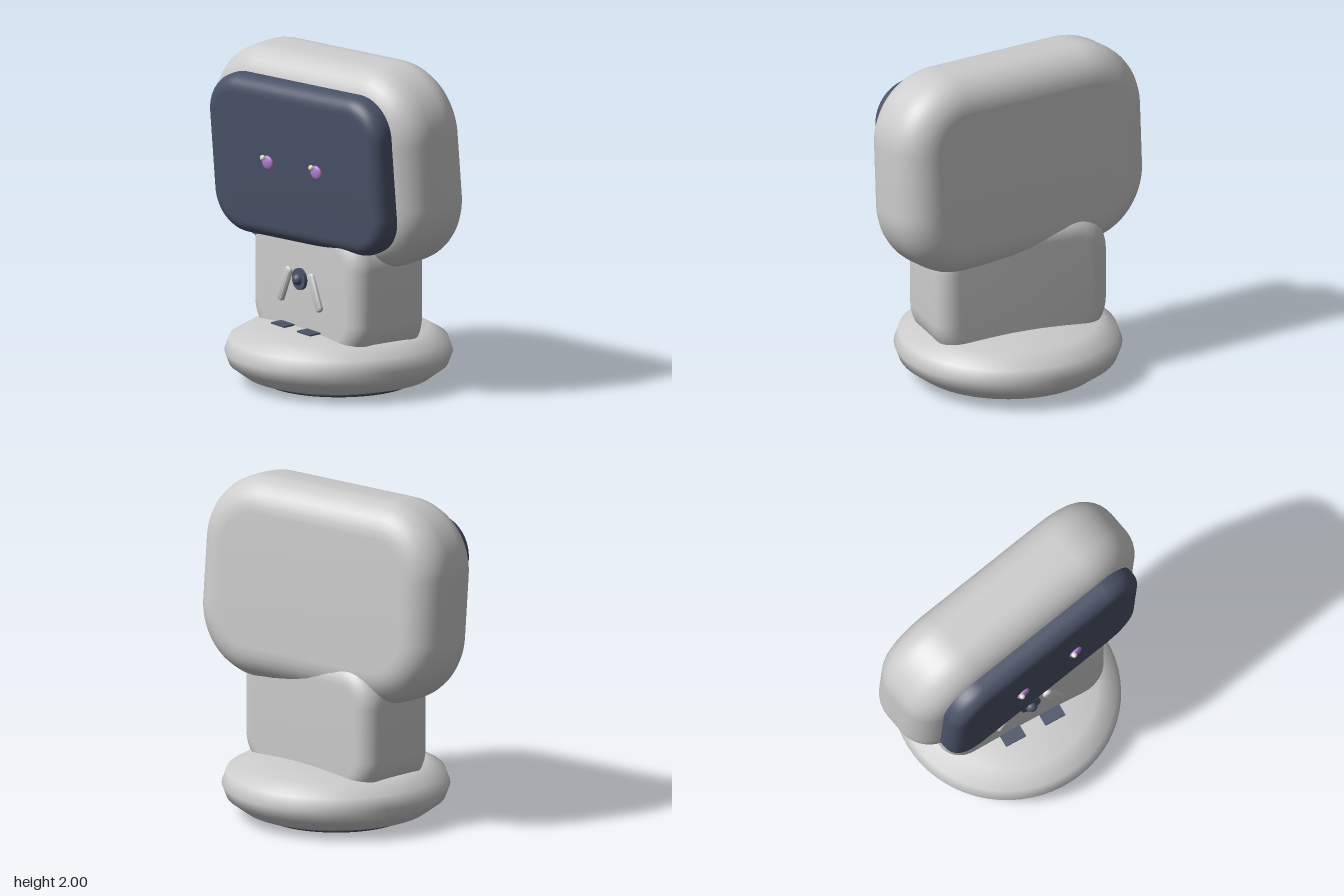
import * as THREE from 'three';
import { toCreasedNormals } from 'three/addons/utils/BufferGeometryUtils.js';

const mat = (name, color) => {
  const m = new THREE.MeshStandardMaterial({ color });
  m.name = name;
  return m;
};

// Rounded rectangle slab with round edges, centred on its origin
function slab(w, h, d, radius, bevel) {
  const x = w / 2 - radius, y = h / 2 - radius, q = Math.PI / 2;
  const s = new THREE.Shape();
  s.absarc(x, y, radius, 0, q);
  s.absarc(-x, y, radius, q, 2 * q);
  s.absarc(-x, -y, radius, 2 * q, 3 * q);
  s.absarc(x, -y, radius, 3 * q, 4 * q);
  s.closePath();
  const g = new THREE.ExtrudeGeometry(s, {
    depth: d - 2 * bevel, curveSegments: 12, bevelEnabled: true,
    bevelSize: bevel, bevelThickness: bevel, bevelOffset: -bevel, bevelSegments: 8,
  });
  g.translate(0, 0, bevel - d / 2);
  return toCreasedNormals(g, 0.7);
}

export function createModel() {
  const shell = mat('light grey shell', 0xcccccc);
  const dark = mat('dark slate', 0x4a5368);
  const purple = mat('eye purple', 0xb47fd2);
  const cream = mat('eye highlight', 0xe4e0d4);

  const model = new THREE.Group();
  model.name = 'deskRobot';
  const add = (parent, name, geo, material, x = 0, y = 0, z = 0) => {
    const m = new THREE.Mesh(geo, material);
    m.name = name;
    m.position.set(x, y, z);
    parent.add(m);
    return m;
  };

  // Base: flattened round cushion with a dark foot ring
  const profile = [[0, 0.012], [0.43, 0.014], [0.55, 0.045], [0.645, 0.115], [0.672, 0.187],
    [0.645, 0.265], [0.535, 0.33], [0.28, 0.355], [0, 0.36]].map(p => new THREE.Vector2(...p));
  add(model, 'base', new THREE.LatheGeometry(profile, 64), shell);
  const ring = add(model, 'footRing', new THREE.TorusGeometry(0.43, 0.015, 10, 64), dark, 0, 0.015, 0);
  ring.rotation.x = Math.PI / 2;

  // Body block
  add(model, 'body', slab(1.1, 0.82, 0.54, 0.25, 0.12), shell, 0, 0.61, 0);

  // Chest button, side bars and base pads
  const disc = add(model, 'buttonRim', new THREE.CylinderGeometry(0.065, 0.065, 0.03, 32), dark, 0, 0.65, 0.275);
  disc.rotation.x = Math.PI / 2;
  add(model, 'button', new THREE.SphereGeometry(0.036, 24, 16), dark, 0, 0.65, 0.291);
  for (const s of [1, -1]) {
    const bar = add(model, s > 0 ? 'leftBar' : 'rightBar', slab(0.06, 0.235, 0.04, 0.025, 0.015),
      shell, s * 0.155, 0.595, 0.273);
    bar.rotation.z = s * 0.44;
    const pad = add(model, s > 0 ? 'leftPad' : 'rightPad', new THREE.BoxGeometry(0.135, 0.009, 0.08),
      dark, s * 0.133, 0.357, 0.305);
    pad.rotation.x = 0.05;
  }

  // Head: turned to its left and tipped forward
  const head = new THREE.Group();
  head.name = 'head';
  head.position.y = 1.38;
  head.rotation.set(0.08, 0.18, 0);
  model.add(head);
  add(head, 'headShell', slab(1.71, 1.22, 0.53, 0.42, 0.2), shell);
  add(head, 'screen', slab(1.425, 0.97, 0.21, 0.25, 0.09), dark, 0, 0, 0.28);

  // Eyes with small highlights
  for (const s of [1, -1]) {
    const eye = add(head, s > 0 ? 'leftEye' : 'rightEye', new THREE.SphereGeometry(0.043, 24, 16),
      purple, s * 0.2, 0, 0.392);
    eye.scale.z = 0.4;
    add(head, s > 0 ? 'leftHighlight' : 'rightHighlight', new THREE.SphereGeometry(0.017, 16, 12),
      cream, s * 0.2 - 0.024, 0.03, 0.407);
  }
  return model;
}
